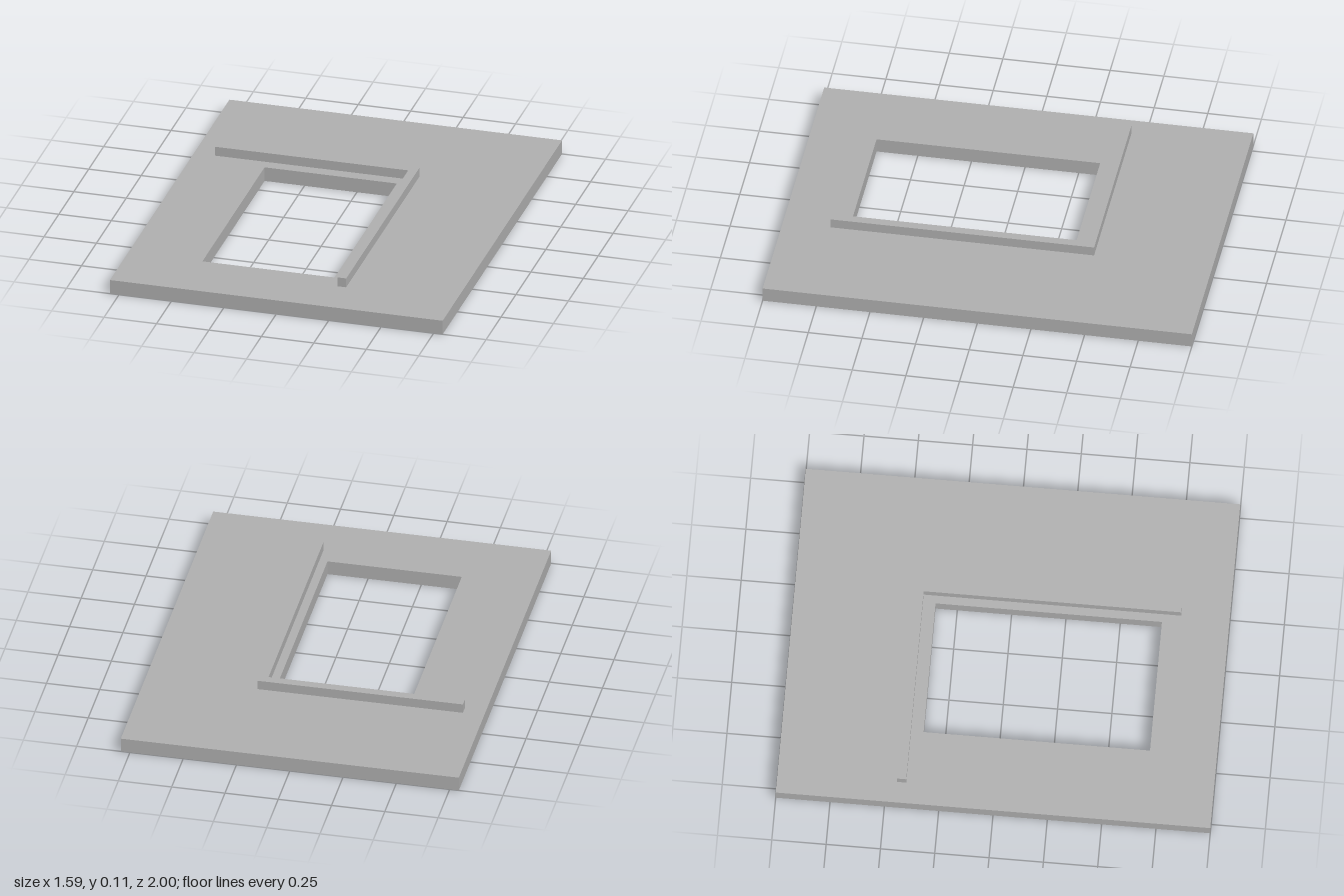
import * as THREE from 'three';

const PLATE_TOP = 0.069;
const RIB_TOP = 0.114;

// Outline from [x, z] floor-plan points
const plan = (points) => points.map(([x, z]) => new THREE.Vector2(x, -z));

const rectangle = (x0, x1, z0, z1) => plan([[x0, z1], [x1, z1], [x1, z0], [x0, z0]]);

// Raises a floor-plan shape from height y0 to y1
function slab(name, shape, y0, y1, material) {
  const geometry = new THREE.ExtrudeGeometry(shape, { depth: y1 - y0, bevelEnabled: false });
  geometry.rotateX(-Math.PI / 2);
  geometry.translate(0, y0, 0);
  const mesh = new THREE.Mesh(geometry, material);
  mesh.name = name;
  return mesh;
}

export function createModel() {
  const group = new THREE.Group();
  group.name = 'panelWithOpening';
  const grey = new THREE.MeshStandardMaterial({ color: 0xb2b2b2 });
  grey.name = 'grey';

  // Flat plate with a rectangular opening
  const plate = new THREE.Shape(rectangle(-0.793, 0.793, -1, 1));
  plate.holes.push(new THREE.Path(rectangle(-0.44, 0.19, -0.35, 0.692)));
  group.add(slab('basePlate', plate, 0, PLATE_TOP, grey));

  // L-shaped raised rib behind and beside the opening
  const rib = new THREE.Shape(plan([
    [-0.693, -0.45], [-0.693, -0.408], [0.228, -0.408],
    [0.228, 0.778], [0.27, 0.778], [0.27, -0.45],
  ]));
  group.add(slab('cornerRib', rib, PLATE_TOP, RIB_TOP, grey));

  return group;
}
